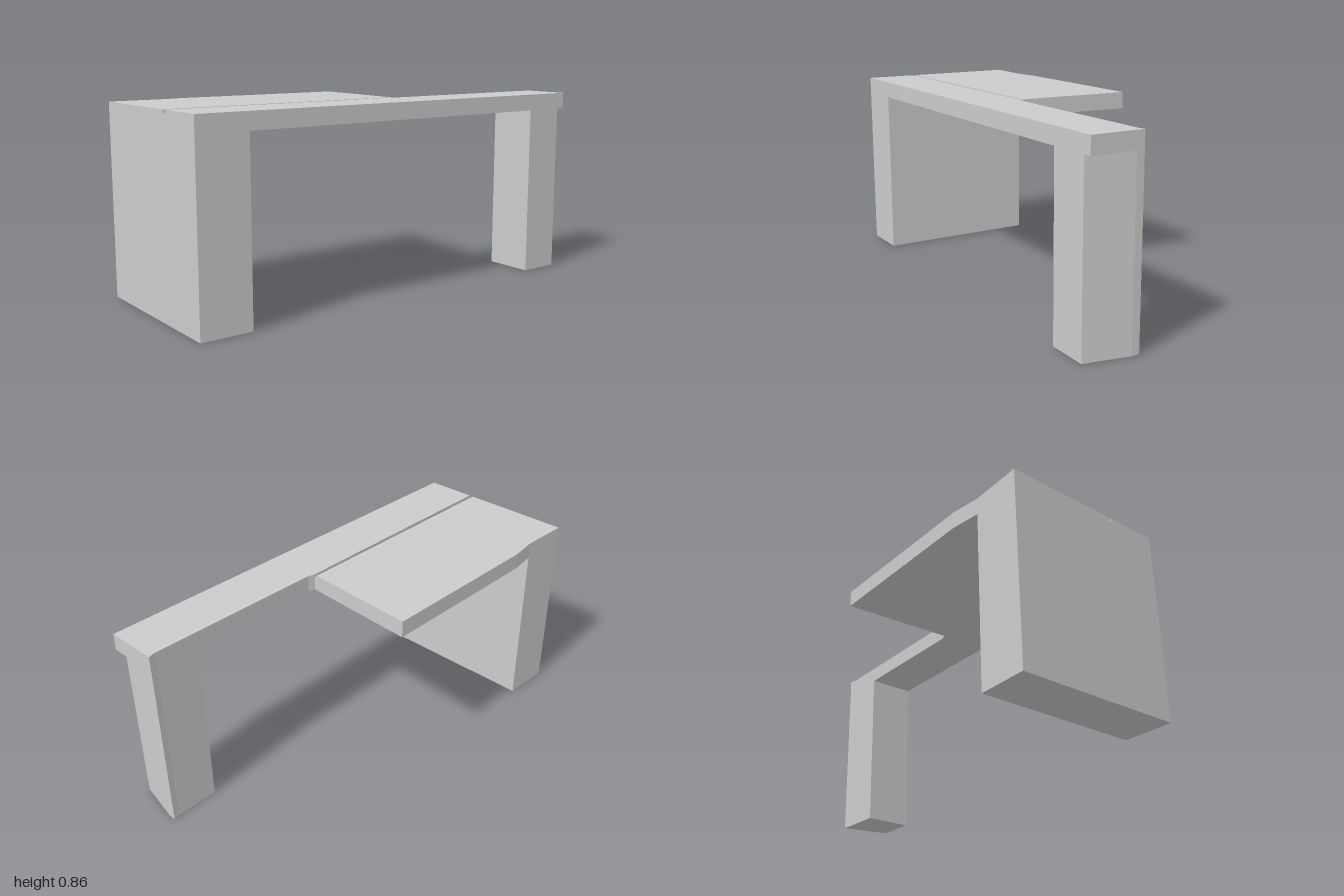
import * as THREE from 'three';

const BOTTOM = 0.78, GROOVE = 0.84, TOP = 0.855;

// Upright prism from a plan outline of [x, z] points between two heights
function prism(name, outline, y0, y1) {
  const shape = new THREE.Shape(outline.map(([x, z]) => new THREE.Vector2(x, -z)));
  const geometry = new THREE.ExtrudeGeometry(shape, { depth: y1 - y0, bevelEnabled: false });
  geometry.rotateX(-Math.PI / 2).translate(0, y0, 0);
  const material = new THREE.MeshStandardMaterial({ color: 0xcccccc, flatShading: true });
  const mesh = new THREE.Mesh(geometry, material);
  mesh.name = name;
  return mesh;
}

export function createModel() {
  const group = new THREE.Group();
  group.name = 'bridgeBlock';

  // Long front beam with its slightly nicked rear corner
  group.add(prism('frontBeam', [
    [-1, 0.39], [1, 0.39], [1, 0.155], [0.97, 0.163], [0.15, 0.16], [0.12, 0.15], [-0.5, 0.153], [-1, 0.155],
  ], BOTTOM, TOP));

  // Wide rear deck with a wavy back edge and slanted end
  group.add(prism('rearDeck', [
    [-1, 0.135], [0.122, 0.135], [0.15, -0.385], [-0.15, -0.387], [-0.64, -0.39], [-0.77, -0.373], [-1, -0.38],
  ], BOTTOM, TOP));

  // Floor of the shallow groove between beam and deck
  group.add(prism('grooveFloor', [
    [-1, 0.155], [-0.5, 0.153], [0.12, 0.15], [0.122, 0.135], [-1, 0.135],
  ], BOTTOM, GROOVE));

  // Deep wall-like leg under the deck
  group.add(prism('rightLeg', [
    [-1, 0.39], [-0.77, 0.39], [-0.77, -0.373], [-1, -0.38],
  ], 0, BOTTOM));

  // Short leg with its outer face cut back towards the front
  group.add(prism('leftLeg', [
    [0.77, 0.39], [0.96, 0.39], [1, 0.19], [1, 0.155], [0.97, 0.163], [0.77, 0.162],
  ], 0, BOTTOM));

  return group;
}
